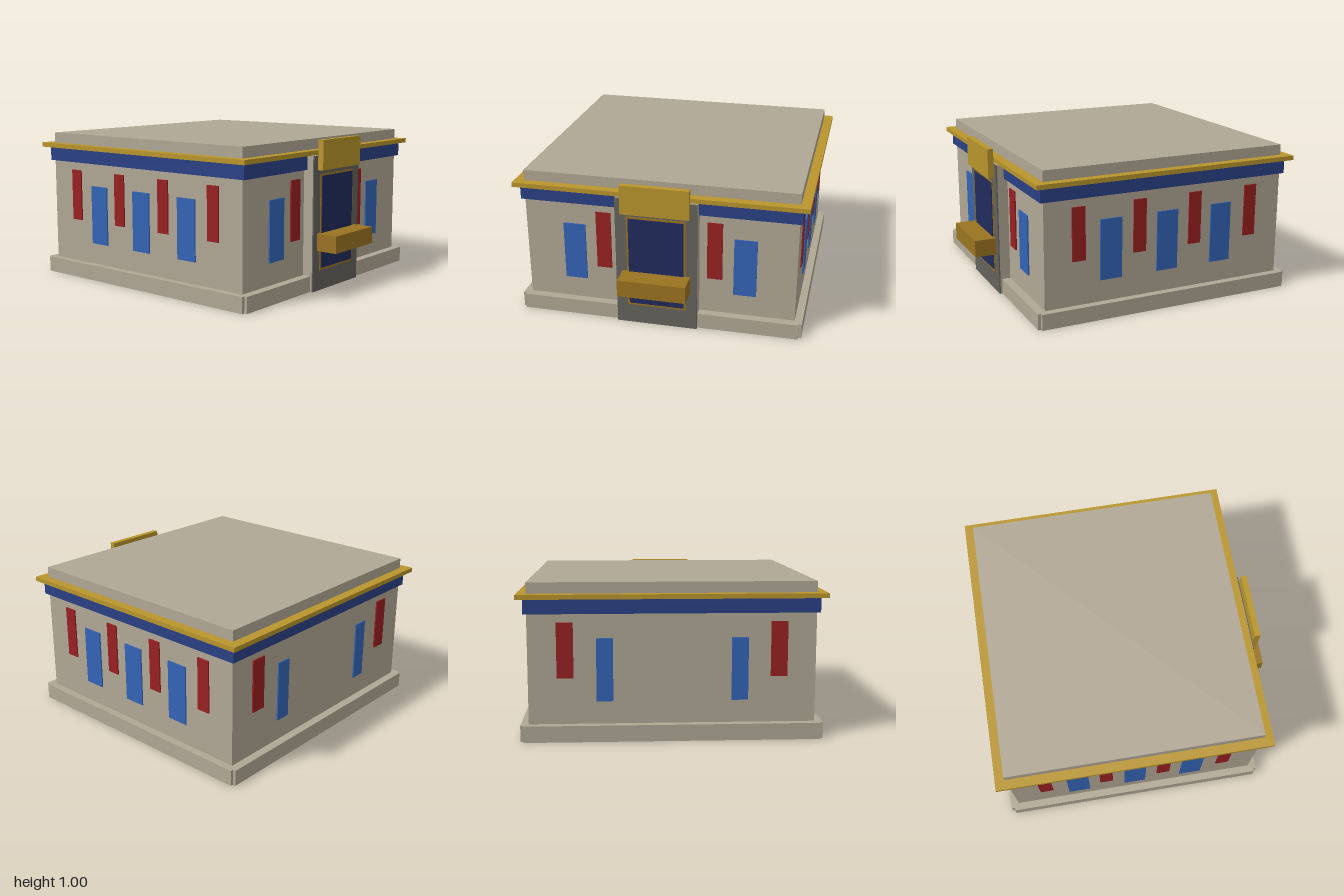
import * as THREE from 'three';

const mat = (name, color) => {
  const m = new THREE.MeshStandardMaterial({ color });
  m.name = name;
  return m;
};

export function createModel() {
  const stone = mat('sandstone', 0xb0a794);
  const gold = mat('gold', 0xb8952c);
  const bronze = mat('bronze', 0x9a7321);
  const navy = mat('navy band', 0x2a4085);
  const blue = mat('window blue', 0x3364b6);
  const red = mat('banner red', 0x992022);
  const doorBlue = mat('door blue', 0x202b5c);
  const grey = mat('portal grey', 0x64625c);

  const group = new THREE.Group();
  group.name = 'building';

  // Box given by its extents along each axis
  const box = (name, material, [x0, x1], [y0, y1], [z0, z1]) => {
    const mesh = new THREE.Mesh(new THREE.BoxGeometry(x1 - x0, y1 - y0, z1 - z0), material);
    mesh.position.set((x0 + x1) / 2, (y0 + y1) / 2, (z0 + z1) / 2);
    mesh.name = name;
    group.add(mesh);
    return mesh;
  };
  const sym = (h) => [-h, h];

  // Main block, with a plinth notched at its corners
  const front = 0.775, back = -0.935, side = 0.905;
  box('walls', stone, sym(side), [0, 1], [back, front]);
  box('plinthSides', stone, sym(0.955), [0, 0.105], [-0.97, 0.812]);
  box('plinthEnds', stone, sym(0.935), [0, 0.105], [-0.99, 0.832]);

  // Painted band and projecting cornice
  box('band', navy, sym(0.925), [0.805, 0.9], [-0.957, 0.8]);
  box('cornice', gold, sym(0.967), [0.9, 0.93], [-1, 0.837]);

  // Entrance portal
  box('portal', stone, sym(0.27), [0, 0.897], [0.7, 0.845]);
  box('portalFace', grey, sym(0.27), [0, 0.897], [0.845, 0.853]);
  box('doorFrame', bronze, sym(0.195), [0.135, 0.775], [0.853, 0.857]);
  box('door', doorBlue, sym(0.182), [0.15, 0.762], [0.857, 0.862]);
  box('portalCrest', gold, sym(0.225), [0.803, 1], [0.853, 0.892]);
  box('entranceLedge', bronze, sym(0.225), [0.27, 0.385], [0.853, 1]);

  // Thin wall panels, mirrored left and right
  const t = 0.009;
  const redY = [0.4, 0.75], blueY = [0.25, 0.65];
  for (const s of [1, -1]) {
    const span = (c, w) => [s * c - w / 2, s * c + w / 2];

    // Front wall
    box('frontBanner', red, span(0.372, 0.1), [0.352, 0.75], [front, front + t]);
    box('frontWindow', blue, span(0.572, 0.15), [0.252, 0.65], [front, front + t]);

    // Back wall
    box('backBanner', red, span(0.672, 0.105), redY, [back - t, back]);
    box('backWindow', blue, span(0.425, 0.105), blueY, [back - t, back]);

    // Side walls
    const x = span(side + t / 2, t);
    for (const z of [0.545, 0.122, -0.28, -0.703]) {
      box('sideBanner', red, x, redY, [z - 0.045, z + 0.045]);
    }
    for (const z of [0.323, -0.078, -0.477]) {
      box('sideWindow', blue, x, blueY, [z - 0.075, z + 0.075]);
    }
  }
  return group;
}
